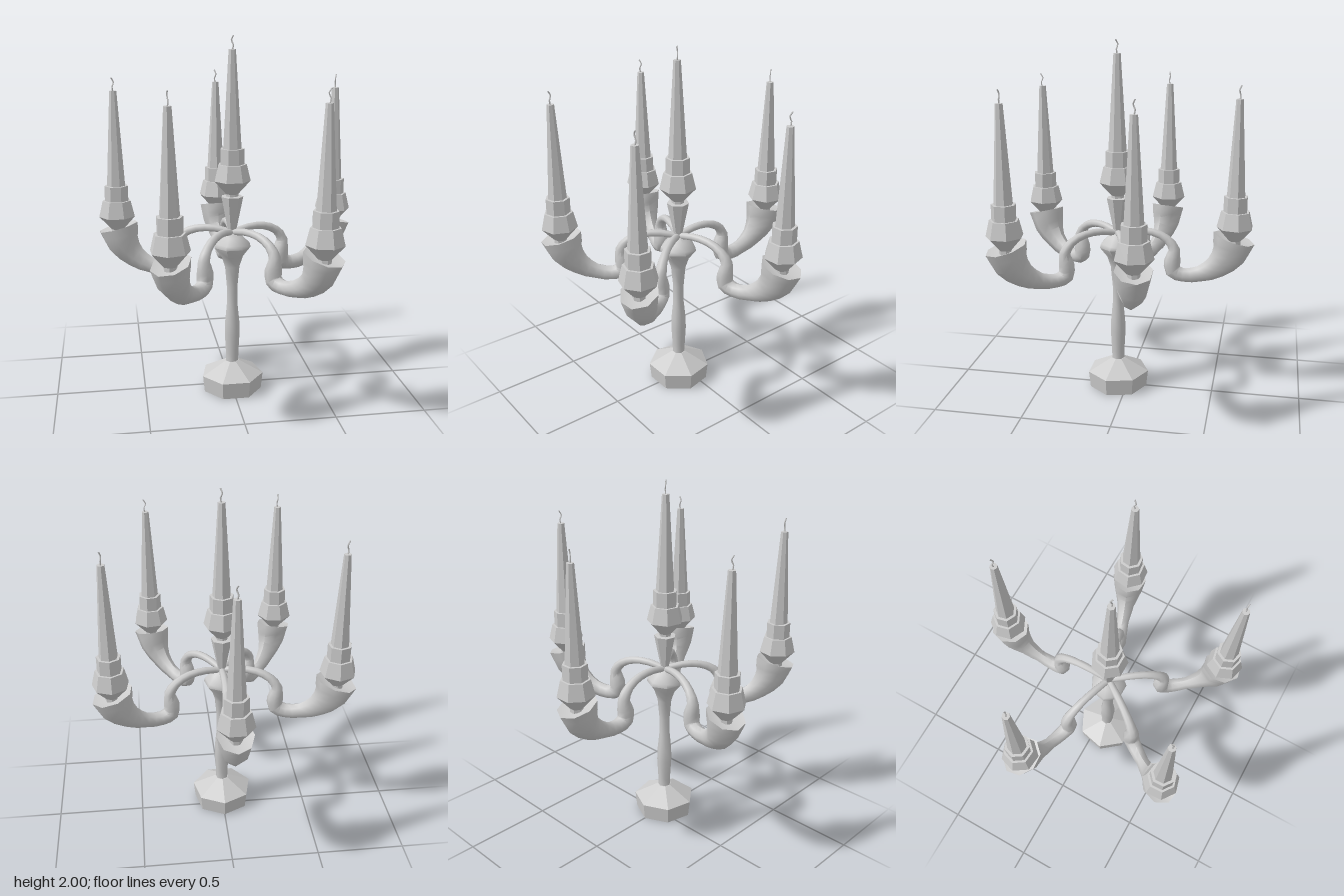
import * as THREE from 'three';
import { toCreasedNormals } from 'three/addons/utils/BufferGeometryUtils.js';

const SIDES = 7;
const flat = new THREE.MeshStandardMaterial({ color: 0xcccccc, flatShading: true });
const smooth = new THREE.MeshStandardMaterial({ color: 0xcccccc });

function named(name, geometry, material) {
  const mesh = new THREE.Mesh(geometry, material);
  mesh.name = name;
  return mesh;
}

// Seven-sided turned part from [radius, height] pairs, bottom to top
function turned(name, profile, crease) {
  const points = profile.map(([r, y]) => new THREE.Vector2(r, y));
  const geometry = new THREE.LatheGeometry(points, SIDES, Math.PI);
  return crease
    ? named(name, toCreasedNormals(geometry, crease), smooth)
    : named(name, geometry, flat);
}

// Candle in its holder; y = 0 is the foot of the holder
function candle() {
  const group = new THREE.Group();
  group.name = 'candleAndHolder';
  group.add(turned('holder', [
    [0, -0.03], [0.035, -0.03], [0.035, 0], [0.102, 0.075], [0.08, 0.165],
    [0.067, 0.165], [0.067, 0.25], [0, 0.25],
  ]));
  group.add(turned('taper', [[0.052, 0.245], [0.02, 0.775], [0, 0.775]]));
  const wick = new THREE.CatmullRomCurve3([
    new THREE.Vector3(0, 0.77, 0), new THREE.Vector3(0.006, 0.797, 0.002),
    new THREE.Vector3(-0.003, 0.822, -0.004), new THREE.Vector3(0.006, 0.847, 0.007),
  ]);
  group.add(named('wick', new THREE.TubeGeometry(wick, 6, 0.004, 4), smooth));
  return group;
}

// S-shaped arm swelling into an open horn: [outward, height, sideways radius, in-plane radius]
function armGeometry() {
  const stations = [
    [0.00, 0.935, 0.018, 0.018], [0.10, 0.955, 0.021, 0.020],
    [0.20, 0.950, 0.022, 0.022], [0.28, 0.915, 0.026, 0.024],
    [0.322, 0.855, 0.034, 0.032], [0.312, 0.79, 0.046, 0.046],
    [0.317, 0.73, 0.046, 0.047], [0.375, 0.708, 0.041, 0.041],
    [0.465, 0.72, 0.036, 0.046], [0.555, 0.765, 0.050, 0.066],
    [0.625, 0.845, 0.082, 0.095], [0.652, 0.94, 0.098, 0.117],
  ];
  const path = new THREE.CatmullRomCurve3(stations.map(([z, y]) => new THREE.Vector3(0, y, z)));
  const around = 8, steps = (stations.length - 1) * 2;
  const pos = [], index = [];
  for (let i = 0; i <= steps; i++) {
    const u = i / steps, s = u * (stations.length - 1);
    const k = Math.min(Math.floor(s), stations.length - 2);
    const mix = c => THREE.MathUtils.lerp(stations[k][c], stations[k + 1][c], s - k);
    const p = path.getPoint(u), t = path.getTangent(u);
    for (let j = 0; j < around; j++) {
      const a = j / around * Math.PI * 2;
      const off = Math.sin(a) * mix(3);
      pos.push(Math.cos(a) * mix(2), p.y + t.z * off, p.z - t.y * off);
      if (i < steps) {
        const q = i * around + j, r = i * around + (j + 1) % around;
        index.push(q, r, r + around, q, r + around, q + around);
      }
    }
  }
  // Shallow hollow closing the horn
  const rim = steps * around, end = path.getPoint(1);
  pos.push(0, end.y - 0.035, end.z);
  for (let j = 0; j < around; j++) index.push(rim + j, rim + (j + 1) % around, rim + around);
  const geometry = new THREE.BufferGeometry();
  geometry.setAttribute('position', new THREE.Float32BufferAttribute(pos, 3));
  geometry.setIndex(index);
  return toCreasedNormals(geometry, 0.9);
}

export function createModel() {
  const model = new THREE.Group();
  model.name = 'candelabrum';
  const body = new THREE.Group();
  body.name = 'body';
  body.position.z = 0.055;
  model.add(body);

  // Base and central column
  body.add(turned('base', [[0, 0], [0.168, 0], [0.178, 0.095], [0.04, 0.17], [0, 0.17]]));
  body.add(turned('column', [
    [0.036, 0.16], [0.037, 0.22], [0.044, 0.34], [0.042, 0.41], [0.031, 0.52],
    [0.031, 0.62], [0.042, 0.74], [0.062, 0.80], [0.104, 0.855], [0.098, 0.878],
    [0.06, 0.915], [0.02, 0.945],
  ], 0.95));
  body.add(turned('upperStem', [
    [0.018, 0.93], [0.026, 0.96], [0.062, 1.14], [0.03, 1.142], [0.03, 1.17],
  ]));
  const top = candle();
  top.position.y = 1.155;
  body.add(top);

  // Five arms, the first pointing straight back
  const geometry = armGeometry();
  for (let i = 0; i < 5; i++) {
    const arm = new THREE.Group();
    arm.name = 'arm' + (i + 1);
    arm.rotation.y = Math.PI + i * Math.PI * 2 / 5;
    arm.add(named('curvedArm', geometry, smooth));
    const light = candle();
    light.position.set(0, 0.928, 0.656);
    arm.add(light);
    body.add(arm);
  }
  return model;
}
